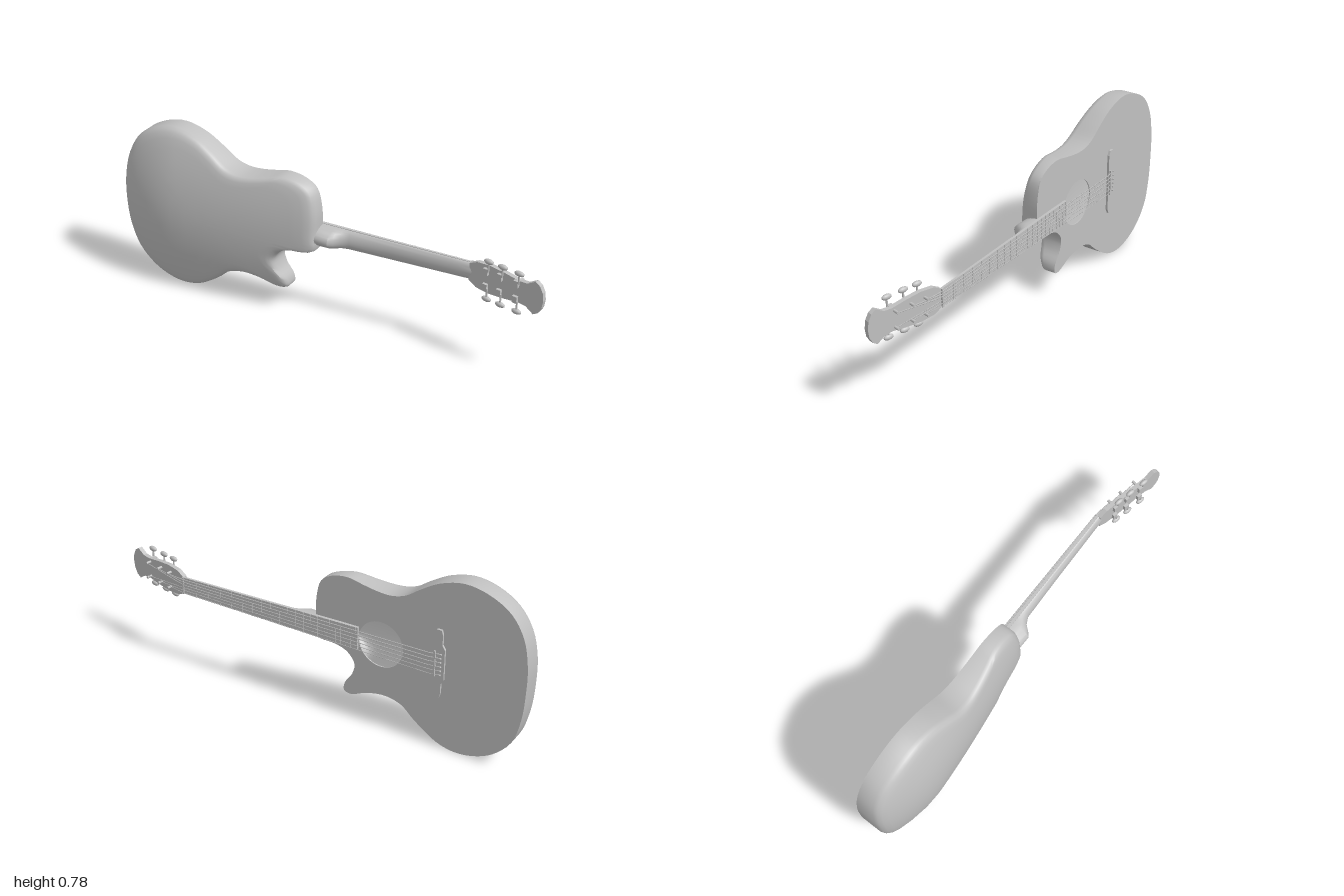
import * as THREE from 'three';
import { toCreasedNormals } from 'three/addons/utils/BufferGeometryUtils.js';

const grey = new THREE.MeshStandardMaterial({ color: 0xc0c0c0, side: THREE.DoubleSide });
grey.name = 'plain grey';
const MID = 0.4; // height of the neck's centre line
const V = (x, y, z) => new THREE.Vector3(x, y, z);
const lerp = THREE.MathUtils.lerp;

function add(parent, name, geometry, x = 0, y = 0, z = 0) {
  const mesh = new THREE.Mesh(geometry, grey);
  mesh.name = name;
  mesh.position.set(x, y, z);
  parent.add(mesh);
  return mesh;
}

// Skin over closed rings of equal length, with optional end caps
function loft(rings, capStart, capEnd, crease = 0.6) {
  const n = rings[0].length, pos = [], index = [];
  rings.forEach(r => r.forEach(p => pos.push(p.x, p.y, p.z)));
  for (let i = 0; i < rings.length - 1; i++) {
    for (let j = 0; j < n; j++) {
      const k = (j + 1) % n, a = i * n + j, b = i * n + k;
      index.push(a, b, b + n, a, b + n, a + n);
    }
  }
  const cap = (ring, start, flip) => {
    const c = ring.reduce((s, p) => s.add(p), V(0, 0, 0)).divideScalar(n);
    const m = pos.length / 3;
    pos.push(c.x, c.y, c.z);
    for (let j = 0; j < n; j++) {
      const a = start + j, b = start + (j + 1) % n;
      index.push(m, flip ? b : a, flip ? a : b);
    }
  };
  if (capStart) cap(rings[0], 0, true);
  if (capEnd) cap(rings[rings.length - 1], (rings.length - 1) * n, false);
  const g = new THREE.BufferGeometry();
  g.setAttribute('position', new THREE.Float32BufferAttribute(pos, 3));
  g.setIndex(index);
  return toCreasedNormals(g, crease);
}

function tube(points, radius) {
  const path = new THREE.CurvePath();
  for (let i = 1; i < points.length; i++) path.add(new THREE.LineCurve3(points[i - 1], points[i]));
  return new THREE.TubeGeometry(path, 30, radius, 5);
}

// Body outline with a cutaway on the lower side
const OUTLINE = [
  [-0.037, 0.345], [-0.035, 0.43], [-0.037, 0.53], [-0.06, 0.615], [-0.11, 0.65], [-0.187, 0.665],
  [-0.26, 0.652], [-0.33, 0.641], [-0.395, 0.64], [-0.455, 0.658], [-0.53, 0.71], [-0.61, 0.757],
  [-0.715, 0.784], [-0.82, 0.765], [-0.915, 0.71], [-0.973, 0.62], [-0.998, 0.5], [-1, 0.39],
  [-0.99, 0.255], [-0.957, 0.14], [-0.877, 0.053], [-0.79, 0.012], [-0.71, 0.001], [-0.64, 0.014],
  [-0.58, 0.045], [-0.51, 0.096], [-0.455, 0.142], [-0.38, 0.16], [-0.29, 0.145], [-0.21, 0.112],
  [-0.177, 0.12], [-0.18, 0.16], [-0.215, 0.214], [-0.226, 0.267], [-0.19, 0.315], [-0.13, 0.335],
];
const outline = new THREE.CatmullRomCurve3(OUTLINE.map(p => V(p[0], p[1], 0)), true)
  .getPoints(144).slice(0, -1);

// Height of the domed back: deepest in the lower bout, shallow at the neck
function backHeight(x, y) {
  const ridge = x < -0.72
    ? 0.105 - 0.062 * ((x + 0.72) / 0.28) ** 2
    : 0.105 - 0.09 * ((x + 0.72) / 0.69) ** 1.35;
  return ridge - 0.08 * ((y - 0.395) / 0.39) ** 2;
}

function buildBody(g) {
  const cx = -0.55, cy = 0.395;
  const rings = [outline.map(p => V(p.x, p.y, -0.074))];
  const steps = [[1, 0.025], [0.985, 0.011], [0.955, 0.003], [0.9, 0], [0.8, 0], [0.65, 0], [0.5, 0],
    [0.35, 0], [0.2, 0], [0.08, 0]];
  for (const [s, drop] of steps) {
    rings.push(outline.map(p => {
      const x = cx + (p.x - cx) * s, y = cy + (p.y - cy) * s;
      return V(x, y, backHeight(x, y) - drop);
    }));
  }
  add(g, 'bowlBack', loft(rings, false, true));

  // Soundboard with round hole
  const top = new THREE.Shape(outline.map(p => new THREE.Vector2(p.x, p.y)));
  top.holes.push(new THREE.Path().absarc(-0.35, MID, 0.105, 0, Math.PI * 2, true));
  add(g, 'soundboard', new THREE.ExtrudeGeometry(top,
    { depth: 0.005, bevelEnabled: false, curveSegments: 40 }), 0, 0, -0.076);
  const ring = add(g, 'rosette', new THREE.RingGeometry(0.138, 0.144, 48), -0.35, MID, -0.0768);
  ring.rotation.y = Math.PI;
}

function buildBridge(g) {
  // Winged plate, mirrored about the centre line
  const half = [[-0.028, 0], [-0.028, 0.07], [-0.016, 0.09], [-0.016, 0.135], [-0.01, 0.157],
    [0.012, 0.157], [0.022, 0.135], [0.022, 0]];
  const pts = [...half, ...half.slice(1, -1).reverse().map(([x, y]) => [x, -y])];
  add(g, 'bridge', new THREE.ExtrudeGeometry(
    new THREE.Shape(pts.map(p => new THREE.Vector2(...p))),
    { depth: 0.011, bevelEnabled: false }), -0.62, MID, -0.086);
  add(g, 'saddle', new THREE.BoxGeometry(0.006, 0.12, 0.01), -0.606, MID, -0.089);
}

// Neck measures along its length
const along = x => (x + 0.25) / 0.9;
const boardHalf = x => lerp(0.052, 0.04, along(x));
const boardTop = x => lerp(-0.088, -0.104, along(x));

function buildNeck(g) {
  const stations = [[-0.05, 0], [0.025, 0], [0.045, -0.018], [0.065, -0.042], [0.1, -0.06],
    [0.3, -0.069], [0.6, -0.079], [0.66, -0.08]];
  const rings = stations.map(([x, back]) => {
    const front = boardTop(x) + 0.008;
    return Array.from({ length: 13 }, (_, i) => {
      const a = Math.PI * i / 12;
      return V(x, MID + Math.cos(a) * boardHalf(x) * 0.97, front + Math.sin(a) * (back - front));
    });
  });
  add(g, 'neck', loft(rings, true, true));

  const board = [-0.245, 0.65].map(x => {
    const w = boardHalf(x), t = boardTop(x), b = x < 0 ? -0.074 : t + 0.01;
    return [V(x, MID + w, t), V(x, MID + w, b), V(x, MID - w, b), V(x, MID - w, t)];
  });
  add(g, 'fretboard', loft(board, true, true));
  for (let i = 1; i <= 21; i++) {
    const x = -0.61 + 1.26 * 2 ** (-i / 12);
    add(g, 'fret', new THREE.BoxGeometry(0.004, boardHalf(x) * 2, 0.004), x, MID, boardTop(x));
  }
  add(g, 'nut', new THREE.BoxGeometry(0.008, 0.082, 0.014), 0.65, MID, -0.102);
}

// Tuner rows: distance along the head and height from the centre line
const TUNERS = [0.085, 0.152, 0.23];
const POST_Y = 0.036;

function buildHead(g) {
  const head = new THREE.Group();
  head.name = 'headstock';
  head.position.set(0.65, MID, -0.102);
  head.rotation.y = -0.21;
  g.add(head);
  const edge = [[0, 0.04], [0.037, 0.06], [0.1, 0.066], [0.17, 0.06], [0.24, 0.05], [0.278, 0.053],
    [0.314, 0.076], [0.335, 0.062], [0.35, 0.035], [0.355, 0]];
  const pts = [...edge, ...edge.slice(0, -1).reverse().map(([x, y]) => [x, -y])];
  add(head, 'headPlate', new THREE.ExtrudeGeometry(
    new THREE.Shape(pts.map(p => new THREE.Vector2(...p))), { depth: 0.02, bevelEnabled: false }));

  for (const side of [1, -1]) {
    for (const x of TUNERS) {
      const y = side * POST_Y;
      const post = add(head, 'tunerPost', new THREE.CylinderGeometry(0.006, 0.006, 0.045, 10), x, y, -0.002);
      post.rotation.x = Math.PI / 2;
      add(head, 'tunerGear', new THREE.BoxGeometry(0.022, 0.03, 0.014), x, y, 0.026);
      add(head, 'tunerShaft', new THREE.CylinderGeometry(0.004, 0.004, 0.045, 8), x + 0.012, side * 0.062, 0.028);
      const knob = add(head, 'tunerKnob', new THREE.SphereGeometry(1, 12, 8), x + 0.012, side * 0.088, 0.028);
      knob.scale.set(0.023, 0.012, 0.011);
    }
  }
  head.updateMatrix();
  return head;
}

function buildStrings(g, head) {
  for (let i = 0; i < 6; i++) {
    const f = (i - 2.5) / 2.5, side = Math.sign(f);
    // Outer strings reach the nearest posts, inner ones the farthest
    const row = i < 3 ? i : 5 - i;
    const post = V(TUNERS[row], side * POST_Y * 0.85, -0.014).applyMatrix4(head.matrix);
    add(g, 'string', tube([
      V(-0.628, MID + f * 0.048, -0.086), V(-0.606, MID + f * 0.048, -0.096),
      V(0.65, MID + f * 0.033, -0.11), post,
    ], 0.0014 + 0.0002 * i));
    const pin = add(g, 'bridgePin', new THREE.CylinderGeometry(0.004, 0.004, 0.012, 8),
      -0.632, MID + f * 0.048, -0.088);
    pin.rotation.x = Math.PI / 2;
  }
}

export function createModel() {
  const g = new THREE.Group();
  g.name = 'acousticGuitar';
  buildBody(g);
  buildBridge(g);
  buildNeck(g);
  buildStrings(g, buildHead(g));
  return g;
}
